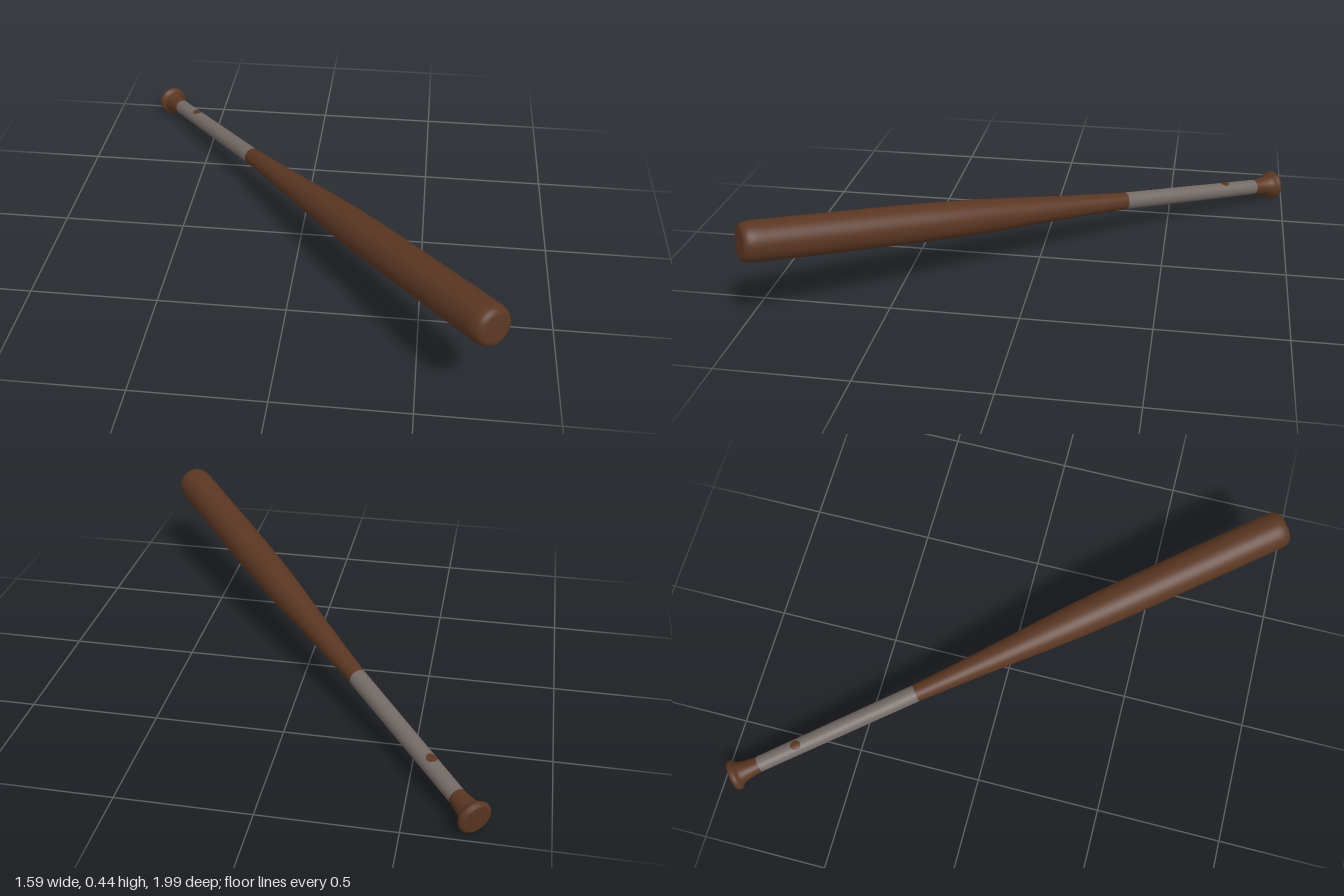
import * as THREE from 'three';

const SEGMENTS = 48;

// Surface of revolution from [radius, distance along the bat] pairs
function turned(name, points, material) {
  const profile = points.map(([r, s]) => new THREE.Vector2(r, s));
  const mesh = new THREE.Mesh(new THREE.LatheGeometry(profile, SEGMENTS), material);
  mesh.name = name;
  return mesh;
}

export function createModel() {
  const wood = new THREE.MeshStandardMaterial({ color: 0x5a3622 });
  wood.name = 'brown wood';
  const tape = new THREE.MeshStandardMaterial({ color: 0x736a66 });
  tape.name = 'grey grip';

  const model = new THREE.Group();
  model.name = 'baseballBat';
  const bat = new THREE.Group();
  bat.name = 'bat';
  model.add(bat);

  // Bat axis runs from the knob face to the barrel tip
  const start = new THREE.Vector3(-0.75, 0.063, -0.962);
  const tip = new THREE.Vector3(0.748, 0.37, 0.962);
  const length = start.distanceTo(tip);
  const gripStart = 0.12, gripEnd = 0.815;
  const gripRadius = (s) => 0.0325 + 0.003 * (s - gripStart) / (gripEnd - gripStart);

  // Knob with a flared neck
  bat.add(turned('knob', [
    [0, 0], [0.05, 0], [0.058, 0.003], [0.063, 0.011], [0.063, 0.02],
    [0.059, 0.027], [0.05, 0.033], [0.045, 0.042], [0.039, 0.065],
    [0.035, 0.095], [gripRadius(gripStart), gripStart],
  ], wood));

  // Wrapped handle
  bat.add(turned('grip', [
    [gripRadius(gripStart), gripStart], [gripRadius(gripEnd), gripEnd],
  ], tape));

  // Swelling barrel with a rounded tip; the swell is a smooth curve
  const swell = new THREE.SplineCurve([
    [gripRadius(gripEnd), gripEnd], [0.044, 1.02], [0.054, 1.22], [0.065, 1.42],
    [0.0725, 1.62], [0.0755, 1.85], [0.0765, 2.15], [0.0765, length - 0.05],
  ].map(([r, s]) => new THREE.Vector2(r, s)));
  bat.add(turned('barrel', [
    ...swell.getPoints(36).map((p) => [p.x, p.y]),
    [0.0755, length - 0.034], [0.0725, length - 0.02], [0.067, length - 0.009],
    [0.059, length - 0.002], [0.05, length], [0, length],
  ], wood));

  // Small plain spot on top of the grip, bent around the handle
  const spotAt = 0.29;
  const spotGeometry = new THREE.RingGeometry(0, 0.021, 20, 4);
  const pos = spotGeometry.attributes.position;
  const radius = gripRadius(spotAt) + 0.0012;
  for (let i = 0; i < pos.count; i++) {
    const angle = pos.getX(i) / radius;
    pos.setXYZ(i, radius * Math.sin(angle), pos.getY(i) + spotAt, radius * Math.cos(angle));
  }
  spotGeometry.computeVertexNormals();
  const spot = new THREE.Mesh(spotGeometry, wood);
  spot.name = 'gripSpot';
  bat.add(spot);

  // Lay the bat along its axis with local +z facing up
  const along = tip.clone().sub(start).normalize();
  const side = along.clone().cross(new THREE.Vector3(0, 1, 0)).normalize();
  const up = side.clone().cross(along);
  bat.quaternion.setFromRotationMatrix(new THREE.Matrix4().makeBasis(side, along, up));
  bat.position.copy(start);
  return model;
}
